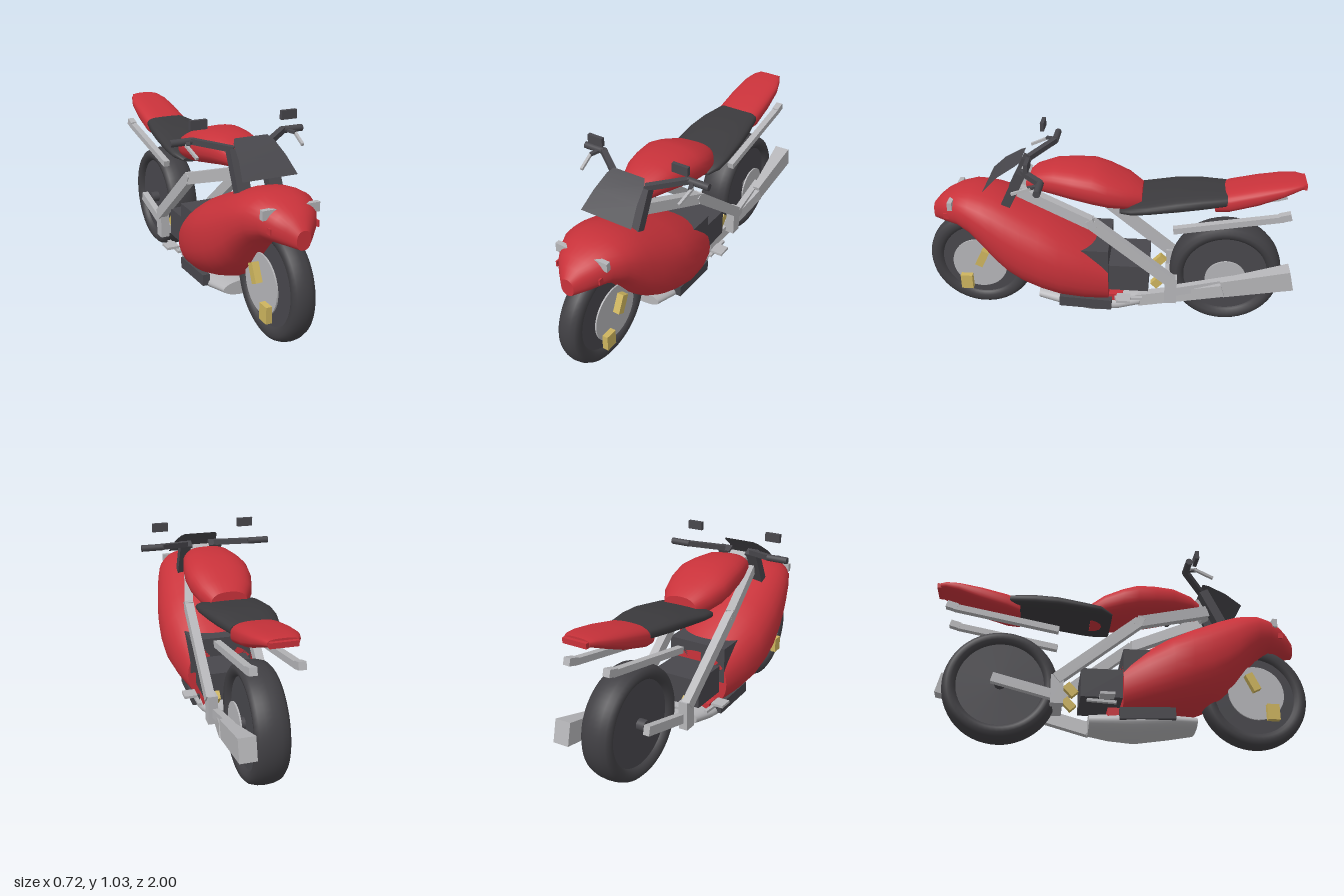
import * as THREE from 'three';

const mat = (name, color, side = THREE.FrontSide) => {
  const m = new THREE.MeshStandardMaterial({ color, side });
  m.name = name;
  return m;
};

// Loft of rounded cross-sections [z, bottom, top, halfWidth], listed front to back
function loft(sections, power = 2.3, n = 32) {
  const pos = [], idx = [];
  const bend = v => Math.sign(v) * Math.pow(Math.abs(v), 2 / power);
  const ring = ([z, yb, yt, hw]) => {
    for (let j = 0; j < n; j++) {
      const t = (j / n) * Math.PI * 2;
      pos.push(hw * bend(Math.cos(t)), (yb + yt) / 2 + ((yt - yb) / 2) * bend(Math.sin(t)), z);
    }
  };
  sections.forEach(ring);
  for (let i = 0; i < sections.length - 1; i++) {
    for (let j = 0; j < n; j++) {
      const a = i * n + j, b = i * n + ((j + 1) % n);
      idx.push(a, a + n, b, b, a + n, b + n);
    }
  }
  // End caps with their own vertices, so the rims stay sharp
  [sections[0], sections[sections.length - 1]].forEach((s, k) => {
    const start = pos.length / 3;
    ring(s);
    pos.push(0, (s[1] + s[2]) / 2, s[0]);
    for (let j = 0; j < n; j++) {
      const a = start + j, b = start + ((j + 1) % n);
      if (k === 0) idx.push(start + n, a, b);
      else idx.push(start + n, b, a);
    }
  });
  const g = new THREE.BufferGeometry();
  g.setAttribute('position', new THREE.Float32BufferAttribute(pos, 3));
  g.setIndex(idx);
  g.computeVertexNormals();
  return g;
}

export function createModel() {
  const root = new THREE.Group();
  root.name = 'motorcycle';
  const red = mat('red paint', 0xc8323a);
  const dark = mat('dark trim', 0x48474c);
  const rubber = mat('tyre rubber', 0x403f43);
  const seatMat = mat('seat cover', 0x3b3a3d);
  const silver = mat('silver metal', 0xb5b5b8);
  const gold = mat('brass calipers', 0xcdb45e);
  const screenMat = mat('dark screen', 0x48474c, THREE.DoubleSide);

  const add = (name, geo, material, parent = root) => {
    const m = new THREE.Mesh(geo, material);
    m.name = name;
    parent.add(m);
    return m;
  };
  const box = (name, material, size, at, tilt = 0) => {
    const m = add(name, new THREE.BoxGeometry(...size), material);
    m.position.set(...at);
    m.rotation.x = tilt;
    return m;
  };
  // Square bar between two points
  const bar = (name, material, p, q, w, h) => {
    const a = new THREE.Vector3(...p), b = new THREE.Vector3(...q);
    const m = add(name, new THREE.BoxGeometry(w, h, a.distanceTo(b)), material);
    m.position.copy(a).lerp(b, 0.5);
    m.lookAt(b);
    return m;
  };
  const disc = (name, material, r, width, x, parent) => {
    const m = add(name, new THREE.CylinderGeometry(r, r, width, 48), material, parent);
    m.rotation.z = Math.PI / 2;
    m.position.x = x;
  };

  // Wheels: tyre, rim, hub and brake discs
  const wheel = (name, z, y, R, w, discR, discSides) => {
    const g = new THREE.Group();
    g.name = name;
    g.position.set(0, y, z);
    root.add(g);
    const half = [[R - 0.078, 0.55], [R - 0.072, 0.8], [R - 0.055, 0.96], [R - 0.032, 1], [R - 0.013, 0.8], [R - 0.003, 0.42]];
    const profile = [
      ...half.map(([r, k]) => new THREE.Vector2(r, -k * w)),
      new THREE.Vector2(R, 0),
      ...half.map(([r, k]) => new THREE.Vector2(r, k * w)).reverse(),
    ];
    add('tyre', new THREE.LatheGeometry(profile, 56), rubber, g).rotation.z = Math.PI / 2;
    disc('rim', dark, R - 0.072, w * 1.3, 0, g);
    disc('hub', dark, 0.03, w * 2 + 0.03, 0, g);
    discSides.forEach(s => disc('brakeDisc', silver, discR, 0.008, s * (w + 0.015), g));
  };
  wheel('frontWheel', 0.712, 0.305, 0.29, 0.058, 0.15, [1, -1]);
  wheel('rearWheel', -0.63, 0.302, 0.3, 0.085, 0.11, [1]);

  // Painted bodywork
  add('fairing', loft([
    [0.947, 0.55, 0.642, 0.036], [0.91, 0.55, 0.685, 0.075], [0.87, 0.55, 0.716, 0.112],
    [0.8, 0.545, 0.746, 0.155], [0.73, 0.505, 0.76, 0.19], [0.66, 0.425, 0.755, 0.213],
    [0.6, 0.345, 0.744, 0.228], [0.53, 0.275, 0.72, 0.243], [0.45, 0.225, 0.685, 0.256],
    [0.35, 0.185, 0.642, 0.264], [0.25, 0.155, 0.594, 0.262], [0.12, 0.132, 0.515, 0.232],
    [-0.005, 0.118, 0.43, 0.185]]), red);
  box('fairingTail', red, [0.24, 0.055, 0.1], [0, 0.145, -0.03]);
  add('tank', loft([
    [0.427, 0.777, 0.84, 0.075], [0.38, 0.77, 0.88, 0.1], [0.28, 0.755, 0.911, 0.137],
    [0.18, 0.735, 0.914, 0.16], [0.08, 0.715, 0.911, 0.172], [0, 0.7, 0.885, 0.168],
    [-0.1, 0.688, 0.845, 0.14], [-0.172, 0.683, 0.8, 0.095]], 2.4), red);
  add('seat', loft([
    [-0.06, 0.685, 0.712, 0.13], [-0.12, 0.688, 0.745, 0.165], [-0.2, 0.695, 0.76, 0.17],
    [-0.35, 0.712, 0.792, 0.165], [-0.47, 0.724, 0.805, 0.15], [-0.605, 0.738, 0.808, 0.12]], 2.8), seatMat);
  add('tailFairing', loft([
    [-0.55, 0.69, 0.79, 0.1], [-0.62, 0.703, 0.818, 0.123], [-0.76, 0.745, 0.852, 0.12],
    [-0.88, 0.797, 0.872, 0.11], [-0.95, 0.828, 0.88, 0.088], [-0.98, 0.838, 0.878, 0.07]], 2.8), red);
  box('tailLight', red, [0.13, 0.026, 0.025], [0, 0.855, -0.985]);

  // Engine, belly and exhaust
  box('engineTop', dark, [0.34, 0.2, 0.17], [0, 0.38, 0.08]);
  box('engineRear', dark, [0.28, 0.155, 0.24], [0, 0.297, -0.1]);
  add('bellyPan', loft([
    [0.385, 0.088, 0.165, 0.105], [0.25, 0.068, 0.165, 0.14], [0.08, 0.042, 0.162, 0.155],
    [-0.06, 0.05, 0.16, 0.135], [-0.172, 0.066, 0.16, 0.1]], 2), silver);
  bar('exhaustPipe', silver, [0.06, 0.11, -0.16], [0.15, 0.27, -0.62], 0.05, 0.07);
  const silencer = bar('silencer', silver, [0.14, 0.362, -0.965], [0.15, 0.275, -0.61], 0.085, 0.115);
  const sp = silencer.geometry.attributes.position;
  for (let i = 0; i < sp.count; i++) {
    if (sp.getZ(i) > 0) sp.setXY(i, sp.getX(i) * 0.45, sp.getY(i) * 0.85);
  }
  silencer.geometry.computeVertexNormals();

  // Headstock and pivot cross members
  box('headstock', silver, [0.12, 0.1, 0.05], [0, 0.82, 0.455], -0.45);
  box('pivotCrossMember', silver, [0.26, 0.05, 0.05], [0, 0.21, -0.335]);

  // Mirrored parts
  for (const s of [1, -1]) {
    // Frame and swingarm
    const path = [[0.07, 0.775, 0.465], [0.155, 0.645, 0.08], [0.15, 0.3, -0.345]];
    const spar = path.map(([x, y, z]) => [s * x, y, z]);
    bar('frameSparFront', silver, spar[0], spar[1], 0.045, 0.06);
    bar('frameSparRear', silver, spar[1], spar[2], 0.045, 0.058);
    box('frameKnee', silver, [0.045, 0.055, 0.04], spar[1], 0.5);
    box('pivotPlate', silver, [0.05, 0.155, 0.065], [s * 0.14, 0.245, -0.34]);
    bar('swingarm', silver, [s * 0.125, 0.22, -0.34], [s * 0.125, 0.305, -0.67], 0.035, 0.05);
    bar('tailRail', silver, [s * 0.11, 0.598, -0.34], [s * 0.11, 0.7, -0.89], 0.035, 0.033);
    bar('tailRailTip', silver, [s * 0.11, 0.7, -0.875], [s * 0.11, 0.716, -0.93], 0.037, 0.037);

    // Lower trim and foot pegs
    box('lowerTrim', dark, [0.04, 0.06, 0.285], [s * 0.145, 0.135, 0.12], -0.04);
    box('footPeg', silver, [0.07, 0.014, 0.075], [s * 0.197, 0.207, -0.09]);
    box('footLever', silver, [0.02, 0.014, 0.15], [s * 0.165, 0.187, -0.115], 0.05);

    // Calipers
    box('upperCaliper', gold, [0.036, 0.1, 0.042], [s * 0.095, 0.355, 0.69], -0.45);
    box('lowerCaliper', gold, [0.032, 0.085, 0.065], [s * 0.091, 0.193, 0.79]);
    box('rearCaliper', gold, [0.035, 0.07, 0.045], [s * 0.1, 0.265, -0.27], -0.75);

    // Front lamps and indicators
    const lampShape = new THREE.Shape([[0.075, 0.718], [0.13, 0.672], [0.147, 0.672], [0.147, 0.718]]
      .map(([x, y]) => new THREE.Vector2(s * x, y)));
    add('frontLamp', new THREE.ExtrudeGeometry(lampShape, { depth: 0.025, bevelEnabled: false }), silver).position.z = 0.813;
    box('indicator', red, [0.008, 0.03, 0.03], [s * 0.123, 0.627, 0.855]);

    // Fork, handlebar, grip, lever and mirror
    bar('forkLeg', dark, [s * 0.085, 0.7, 0.535], [s * 0.085, 0.885, 0.445], 0.07, 0.05);
    bar('handlebar', dark, [s * 0.085, 0.885, 0.44], [s * 0.25, 0.915, 0.32], 0.03, 0.028);
    const grip = add('grip', new THREE.CylinderGeometry(0.018, 0.018, 0.115, 16), dark);
    grip.rotation.z = Math.PI / 2;
    grip.position.set(s * 0.303, 0.914, 0.32);
    bar('leverMount', dark, [s * 0.27, 0.912, 0.32], [s * 0.29, 0.908, 0.375], 0.02, 0.014);
    bar('brakeLever', silver, [s * 0.295, 0.908, 0.36], [s * 0.283, 0.868, 0.46], 0.014, 0.014);
    box('mirror', dark, [0.086, 0.046, 0.02], [s * 0.243, 1.008, 0.382]);
  }

  // Windscreen: thin curved sheet from rows of [halfWidth, y, z]
  const rows = [[0.145, 0.79, 0.645], [0.124, 0.867, 0.568], [0.107, 0.923, 0.48], [0.088, 0.941, 0.45]];
  const screen = new THREE.PlaneGeometry(2, 1, 1, rows.length - 1);
  const p = screen.attributes.position;
  for (let i = 0; i < p.count; i++) {
    const [hw, y, z] = rows[rows.length - 1 - Math.floor(i / 2)];
    p.setXYZ(i, p.getX(i) * hw, y, z);
  }
  screen.computeVertexNormals();
  add('windscreen', screen, screenMat);

  return root;
}
